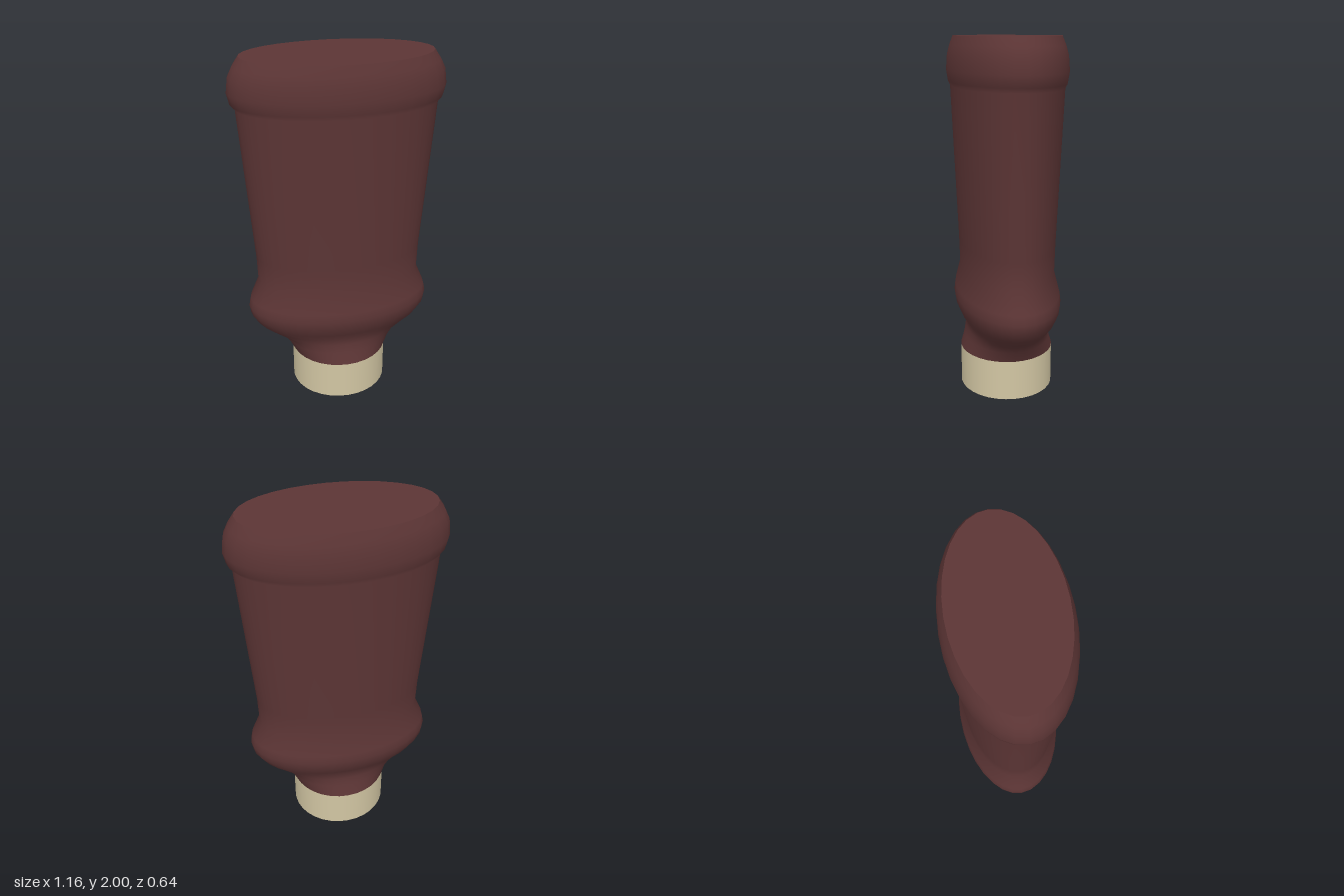
import * as THREE from 'three';
import { mergeVertices } from 'three/addons/utils/BufferGeometryUtils.js';

const SIDES = 32;

// Body cross-sections from bottom to top: [height, half width, half depth]
const SECTIONS = [
  [0.23, 0.28, 0.267], [0.3, 0.315, 0.245], [0.35, 0.357, 0.236], [0.395, 0.43, 0.237],
  [0.44, 0.484, 0.265], [0.5, 0.524, 0.29], [0.55, 0.532, 0.297], [0.6, 0.521, 0.291],
  [0.72, 0.47, 0.261], [0.87, 0.475, 0.265], [1.735, 0.54, 0.3], [1.76, 0.565, 0.311],
  [1.82, 0.579, 0.32], [1.9, 0.568, 0.314], [1.95, 0.543, 0.301], [2, 0.508, 0.282],
];

// Lathe the widths, then flatten each ring to its own depth
function ellipticalLoft(sections) {
  const lathe = new THREE.LatheGeometry(sections.map(([y, rx]) => new THREE.Vector2(rx, y)), SIDES);
  const pos = lathe.attributes.position;
  for (let i = 0; i < pos.count; i++) {
    const [, rx, rz] = sections[i % sections.length];
    pos.setZ(i, pos.getZ(i) * rz / rx);
  }
  lathe.deleteAttribute('uv');
  lathe.deleteAttribute('normal');
  const geometry = mergeVertices(lathe, 1e-5);
  geometry.computeVertexNormals();
  return geometry;
}

export function createModel() {
  const group = new THREE.Group();
  group.name = 'handle';
  const gripMaterial = new THREE.MeshStandardMaterial({ color: 0x5c3535 });
  const collarMaterial = new THREE.MeshStandardMaterial({ color: 0xd2c6a3 });

  const add = (name, geometry, material) => {
    const mesh = new THREE.Mesh(geometry, material);
    mesh.name = name;
    group.add(mesh);
  };

  // Swelling oval grip with a rounded rim
  add('grip', ellipticalLoft(SECTIONS), gripMaterial);

  // Flat oval end closing the rim
  const [topY, topX, topZ] = SECTIONS[SECTIONS.length - 1];
  add('gripEnd', new THREE.CircleGeometry(1, SIDES).rotateX(-Math.PI / 2)
    .scale(topX, 1, topZ).translate(0, topY, 0), gripMaterial);

  // Pale collar at the foot
  add('collar', new THREE.CylinderGeometry(1, 1, 0.23, SIDES)
    .scale(0.28, 1, 0.267).translate(0, 0.115, 0), collarMaterial);

  return group;
}
